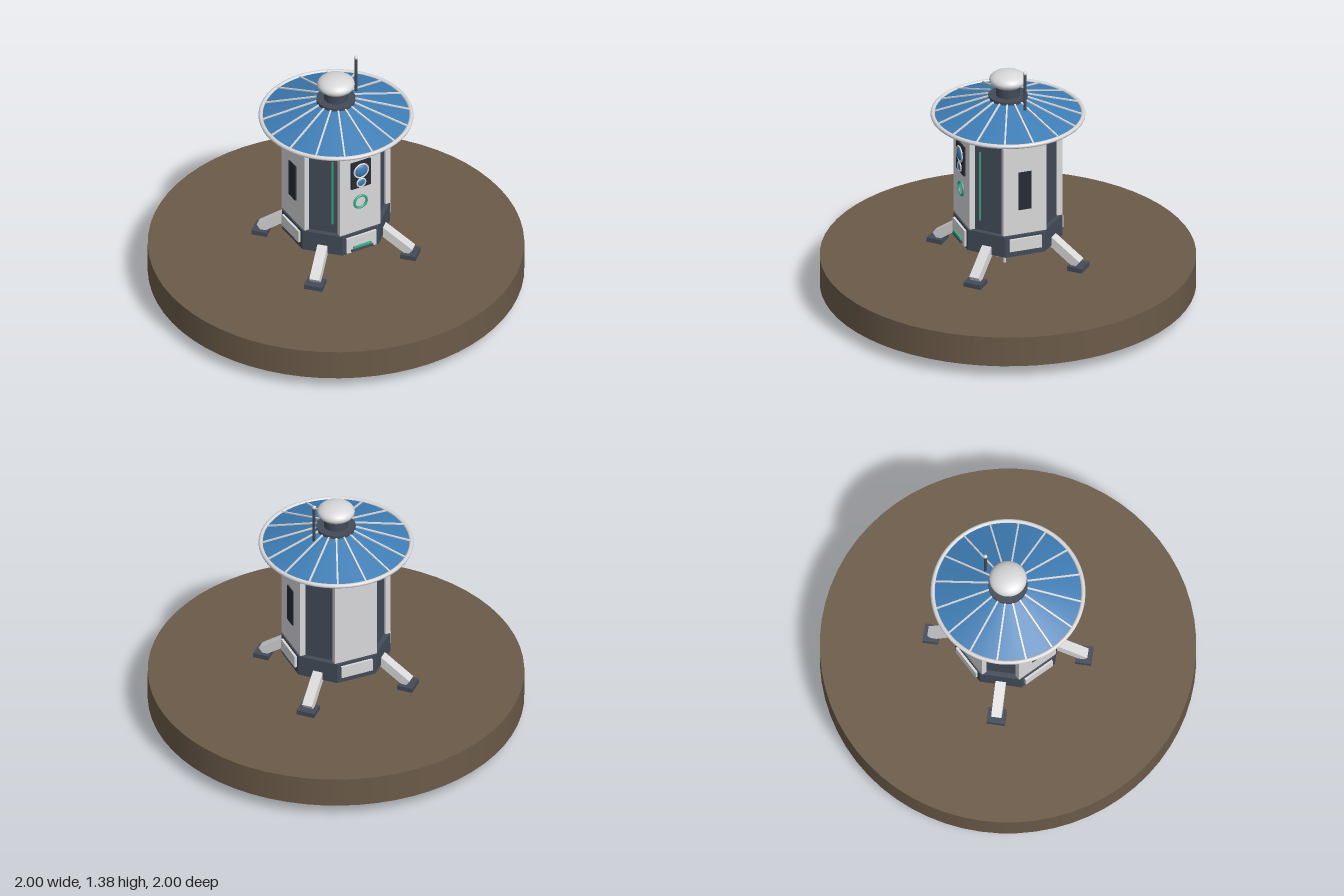
import * as THREE from 'three';

const mat = (name, color) => {
  const m = new THREE.MeshStandardMaterial({ color });
  m.name = name;
  return m;
};

export function createModel() {
  const soil = mat('soil brown', 0x6b5a48);
  const white = mat('panel white', 0xd8d8da);
  const dark = mat('slate frame', 0x434b58);
  const black = mat('window black', 0x262b34);
  const blue = mat('solar blue', 0x3e7db5);
  const green = mat('signal green', 0x3aac86);
  const blueInside = blue.clone();
  blueInside.side = THREE.DoubleSide;

  const model = new THREE.Group();
  model.name = 'groundStation';

  const add = (name, geo, material, x = 0, y = 0, z = 0, parent = model) => {
    const m = new THREE.Mesh(geo, material);
    m.name = name;
    m.position.set(x, y, z);
    parent.add(m);
    return m;
  };
  const box = (name, w, h, d, material, x, y, z, parent) =>
    add(name, new THREE.BoxGeometry(w, h, d), material, x, y, z, parent);
  const tube = (name, r, y0, y1, material, x = 0, z = 0, seg = 32, parent = model) =>
    add(name, new THREE.CylinderGeometry(r, r, y1 - y0, seg), material, x, (y0 + y1) / 2, z, parent);
  // Octagonal prism with a flat face towards each axis
  const octagon = (name, apothem, y0, y1, material) => {
    const r = apothem / Math.cos(Math.PI / 8);
    const g = new THREE.CylinderGeometry(r, r, y1 - y0, 8).rotateY(Math.PI / 8).toNonIndexed();
    g.computeVertexNormals();
    return add(name, g, material, 0, (y0 + y1) / 2, 0);
  };
  // Group turned so that its local +z points out of one wall
  const side = (name, angle) => {
    const g = new THREE.Group();
    g.name = name;
    g.rotation.y = angle;
    model.add(g);
    return g;
  };

  // Ground disc
  tube('ground', 1, 0.07, 0.24, soil, 0, 0, 64);

  // Base and tower body
  octagon('base', 0.267, 0.36, 0.48, dark);
  octagon('body', 0.24, 0.48, 1.01, dark);
  tube('neckRing', 0.23, 1.0, 1.03, dark);
  tube('collar', 0.283, 1.02, 1.065, dark, 0, 0, 48);

  // Main wall panels with the lower hatches
  for (let i = 0; i < 4; i++) {
    const wall = side('wall', i * Math.PI / 2);
    box('wallPanel', 0.245, 0.515, 0.03, white, 0, 0.743, 0.247, wall);
    const low = i === 0 ? 0.372 : 0.395;
    box('hatch', 0.18, 0.465 - low, 0.02, white, 0, (0.465 + low) / 2, 0.27, wall);
    if (i % 2) box('window', 0.072, 0.22, 0.008, black, 0, 0.74, 0.265, wall);
  }

  // Front instruments
  box('instrumentPlate', 0.118, 0.168, 0.012, black, 0, 0.856, 0.266);
  for (const [y, r] of [[0.88, 0.042], [0.804, 0.025]]) {
    const lens = add('lens', new THREE.SphereGeometry(r * 0.9, 24, 12), blue, 0, y, 0.272);
    lens.scale.z = 0.4;
    add('lensRim', new THREE.TorusGeometry(r, 0.005, 8, 32), white, 0, y, 0.274);
  }
  add('signalRing', new THREE.TorusGeometry(0.037, 0.007, 8, 32), green, 0, 0.675, 0.266);
  box('stepLight', 0.11, 0.01, 0.012, green, 0, 0.403, 0.285);
  box('step', 0.13, 0.01, 0.012, dark, 0, 0.386, 0.285);

  // Light strips on the front corner walls
  for (const s of [-1, 1]) {
    const corner = side('cornerWall', s * Math.PI / 4);
    box('lightStrip', 0.009, 0.4, 0.009, green, -s * 0.05, 0.74, 0.243, corner);
  }

  // Legs and feet on the diagonals
  for (let i = 0; i < 4; i++) {
    const leg = side('leg', Math.PI / 4 + i * Math.PI / 2);
    const a = new THREE.Vector3(0, 0.4, 0.235), b = new THREE.Vector3(0, 0.272, 0.415);
    const mid = a.clone().lerp(b, 0.5);
    const strut = box('strut', 0.055, 0.05, a.distanceTo(b), white, 0, mid.y, mid.z, leg);
    strut.rotation.x = Math.atan2(a.y - b.y, b.z - a.z);
    box('foot', 0.1, 0.026, 0.085, dark, 0, 0.253, 0.41, leg);
  }

  // Probe rods below the base, one through the ground
  tube('probe', 0.008, 0, 0.37, white, 0.085, 0.05, 12);
  tube('probe', 0.008, 0.2, 0.37, white, -0.085, 0.05, 12);
  tube('probe', 0.008, 0.2, 0.37, white, 0, 0.06, 12);

  // Conical roof, rim and ribs
  const roof = [[0.4, 1.073], [0.1, 1.172]].map(p => new THREE.Vector2(...p));
  add('roof', new THREE.LatheGeometry(roof, 64), blueInside);
  add('roofRim', new THREE.TorusGeometry(0.4, 0.012, 10, 64).rotateX(Math.PI / 2), white, 0, 1.073, 0);
  for (let i = 0; i < 16; i++) {
    const spoke = side('roofRib', i * Math.PI / 8);
    const rib = box('rib', 0.009, 0.009, 0.31, white, 0, 1.125, 0.25, spoke);
    rib.rotation.x = Math.atan2(0.099, 0.3);
  }

  // Cap with dome
  tube('capRing', 0.105, 1.155, 1.187, dark);
  tube('capNeck', 0.064, 1.18, 1.26, dark);
  add('dome', new THREE.SphereGeometry(0.1, 40, 24), white, 0, 1.276, 0).scale.y = 0.46;

  // Antenna
  tube('antenna', 0.008, 1.14, 1.37, dark, 0.145, -0.042, 12);
  add('antennaTip', new THREE.SphereGeometry(0.011, 16, 10), white, 0.145, 1.37, -0.042);

  return model;
}
